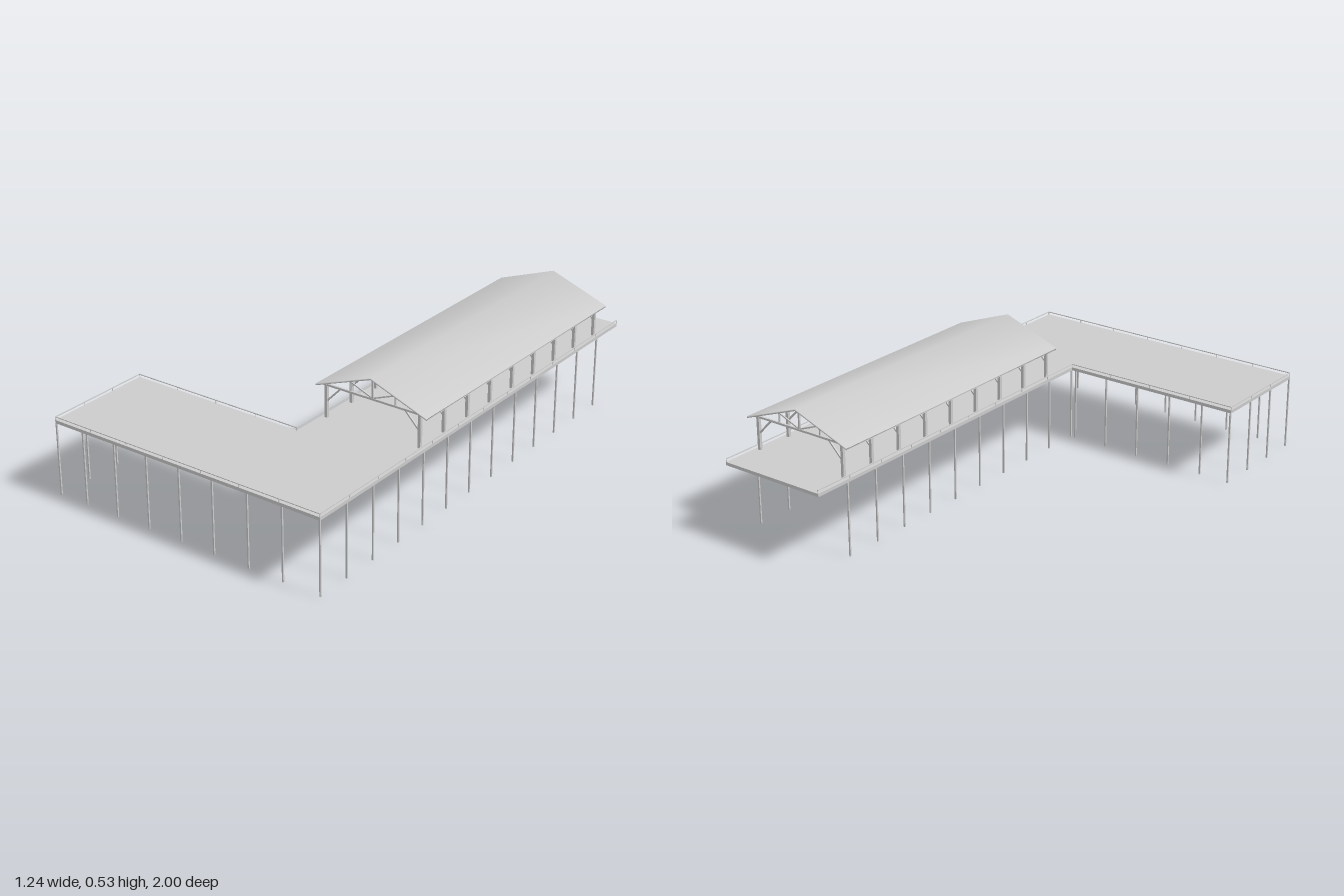
import * as THREE from 'three';

const material = new THREE.MeshStandardMaterial({ color: 0xcccccc });
const DECK_BOTTOM = 0.298, DECK_TOP = 0.311, RAIL_TOP = 0.326;
const BAY = 0.1535;

// Square bar running from point a to point b
function bar(name, a, b, width, depth = width) {
  const start = new THREE.Vector3(...a), end = new THREE.Vector3(...b);
  const mesh = new THREE.Mesh(new THREE.BoxGeometry(width, depth, start.distanceTo(end)), material);
  mesh.name = name;
  mesh.position.copy(start).add(end).multiplyScalar(0.5);
  mesh.lookAt(end);
  return mesh;
}

// L-shaped platform
function createDeck() {
  const outline = [[-0.62, 1], [0.603, 1], [0.603, -1], [0.145, -1], [0.145, 0.54], [-0.62, 0.54]];
  const shape = new THREE.Shape(outline.map(([x, z]) => new THREE.Vector2(x, -z)));
  const geometry = new THREE.ExtrudeGeometry(shape, { depth: DECK_TOP - DECK_BOTTOM, bevelEnabled: false });
  geometry.rotateX(-Math.PI / 2);
  const deck = new THREE.Mesh(geometry, material);
  deck.name = 'deck';
  deck.position.y = DECK_BOTTOM;
  return deck;
}

// Slender piles along the deck edges
function createPiles() {
  const group = new THREE.Group();
  group.name = 'piles';
  const add = (x, z) => group.add(bar('pile', [x, 0, z], [x, DECK_BOTTOM, z], 0.006));
  const xs = [-0.485, -0.332, -0.178, -0.025, 0.128, 0.285, 0.438];
  xs.forEach((x) => add(x, 0.997));
  xs.slice(0, 5).forEach((x) => add(x, 0.543));
  for (let i = 0; i < 13; i++) {
    const z = i === 0 ? 0.997 : 1 - i * BAY;
    add(0.6, z);
    if (i >= 3) add(0.148, z);
    if (i <= 3) add(-0.617, z);
  }
  return group;
}

// Low railing, open at the far end of the long arm
function createRailing() {
  const group = new THREE.Group();
  group.name = 'railing';
  const path = [[0.147, -1], [0.147, 0.542], [-0.618, 0.542], [-0.618, 0.998], [0.601, 0.998], [0.601, -1]];
  for (let i = 0; i < path.length - 1; i++) {
    const [x0, z0] = path[i], [x1, z1] = path[i + 1];
    group.add(bar('handrail', [x0, RAIL_TOP - 0.002, z0], [x1, RAIL_TOP - 0.002, z1], 0.004, 0.003));
    const count = Math.round(Math.hypot(x1 - x0, z1 - z0) / 0.173);
    for (let k = i ? 1 : 0; k <= count; k++) {
      const x = x0 + (x1 - x0) * k / count, z = z0 + (z1 - z0) * k / count;
      group.add(bar('railPost', [x, DECK_TOP - 0.002, z], [x, RAIL_TOP - 0.003, z], 0.002));
    }
  }
  return group;
}

// One timber frame: posts, knee braces and roof truss
function createFrame(z) {
  const frame = new THREE.Group();
  frame.name = 'frame';
  const cx = 0.375;
  const tieY = 0.444;
  for (const s of [-1, 1]) {
    const part = (name, x0, y0, x1, y1, w) =>
      frame.add(bar(name, [cx + s * x0, y0, 0], [cx + s * x1, y1, 0], w));
    part('post', 0.208, DECK_TOP, 0.208, 0.447, 0.012);
    part('kneeBrace', 0.206, 0.378, 0.142, tieY, 0.006);
    part('rafter', 0.242, 0.436, 0, 0.524, 0.006);
    part('trussPost', 0.1, tieY, 0.1, 0.488, 0.005);
    part('trussDiagonal', 0.003, 0.448, 0.1, 0.486, 0.005);
  }
  frame.add(bar('tieBeam', [cx - 0.22, tieY, 0], [cx + 0.22, tieY, 0], 0.008));
  frame.add(bar('kingPost', [cx, tieY, 0], [cx, 0.526, 0], 0.007));
  frame.position.z = z;
  return frame;
}

// Thin gabled roof with normals shared across its edges
function createRoof() {
  const section = [[0.128, 0.435], [0.375, 0.526], [0.622, 0.435], [0.622, 0.442], [0.375, 0.533], [0.128, 0.442]];
  const positions = [], index = [];
  for (const z of [0.403, -0.862]) section.forEach(([x, y]) => positions.push(x, y, z));
  const n = section.length;
  for (let i = 0; i < n; i++) {
    const j = (i + 1) % n;
    index.push(n + i, n + j, j, n + i, j, i);
  }
  for (const [a, b, c] of [[0, 1, 4], [0, 4, 5], [1, 2, 3], [1, 3, 4]]) {
    index.push(a, b, c, n + a, n + c, n + b);
  }
  const geometry = new THREE.BufferGeometry();
  geometry.setAttribute('position', new THREE.Float32BufferAttribute(positions, 3));
  geometry.setIndex(index);
  geometry.computeVertexNormals();
  const roof = new THREE.Mesh(geometry, material);
  roof.name = 'roof';
  return roof;
}

export function createModel() {
  const model = new THREE.Group();
  model.name = 'pier';
  model.add(createDeck(), createPiles(), createRailing());

  const shelter = new THREE.Group();
  shelter.name = 'shelter';
  for (let i = 0; i < 9; i++) shelter.add(createFrame(0.387 - i * BAY));
  shelter.add(createRoof());
  model.add(shelter);
  return model;
}
